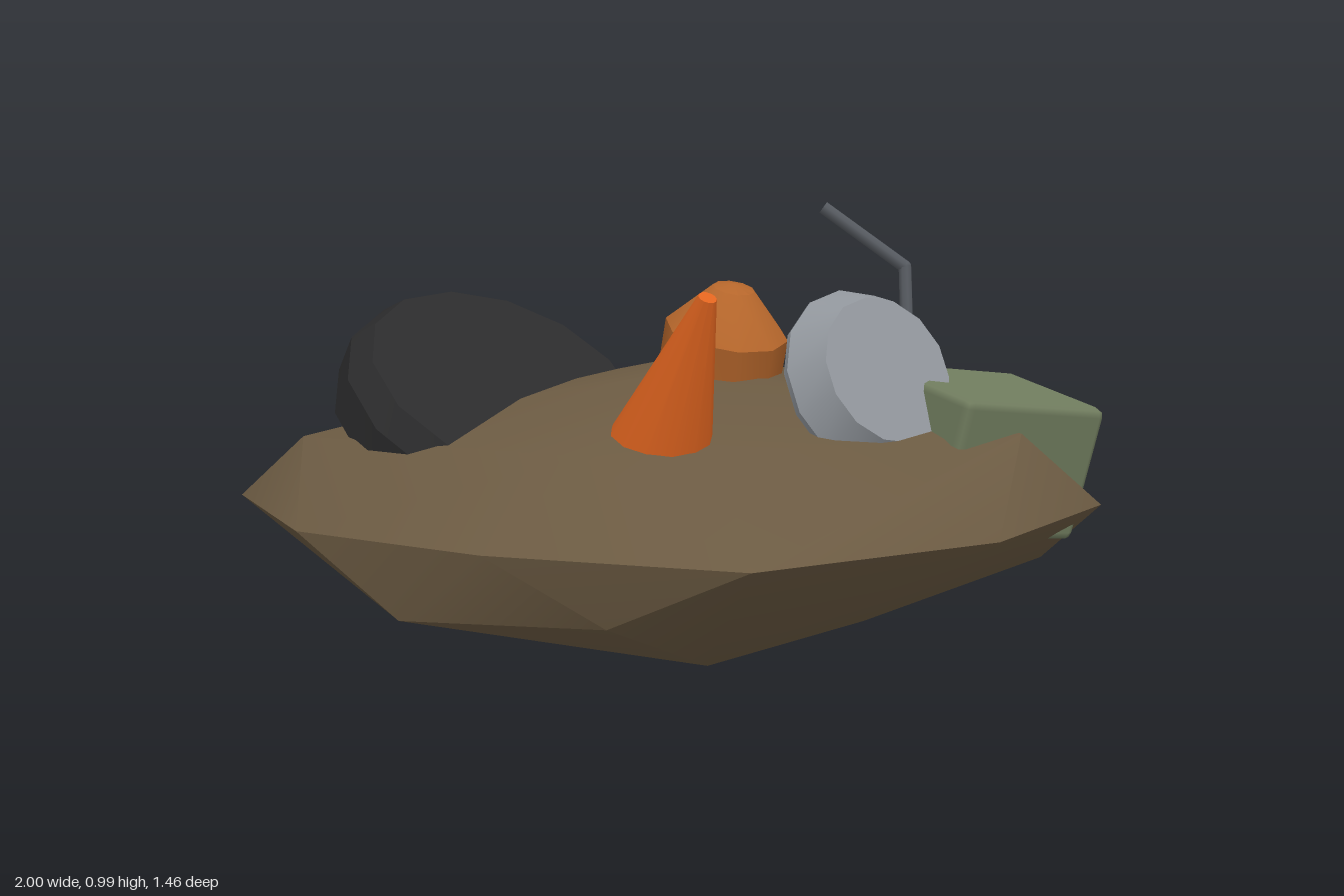
import * as THREE from 'three';
import { toCreasedNormals } from 'three/addons/utils/BufferGeometryUtils.js';
import { ConvexGeometry } from 'three/addons/geometries/ConvexGeometry.js';
import { RoundedBoxGeometry } from 'three/addons/geometries/RoundedBoxGeometry.js';

const UP = new THREE.Vector3(0, 1, 0);
const vec = (p) => new THREE.Vector3(...p);

function material(name, color) {
  const m = new THREE.MeshStandardMaterial({ color });
  m.name = name;
  return m;
}

export function createModel() {
  const group = new THREE.Group();
  const dirt = material('dirt brown', 0x6b5a42);
  const rubber = material('rubber black', 0x2b2b2c);
  const orange = material('cone orange', 0xe0641f);
  const rust = material('rust orange', 0xb5662b);
  const steel = material('pale steel', 0x92979d);
  const darkSteel = material('dark steel', 0x565a60);
  const green = material('crate green', 0x707c5e);

  function add(name, geometry, mat, position = [0, 0, 0], axis = null) {
    const mesh = new THREE.Mesh(geometry, mat);
    mesh.name = name;
    mesh.position.set(...position);
    if (axis) mesh.quaternion.setFromUnitVectors(UP, vec(axis).normalize());
    group.add(mesh);
    return mesh;
  }

  // Solid turned from [radius, height] points, with sharp rims
  const turned = (profile, sides, crease = 0.7) => toCreasedNormals(
    new THREE.LatheGeometry(profile.map(([r, y]) => new THREE.Vector2(r, y)), sides), crease);

  // Mound: faceted heap described by its rings of corners
  const rim = [[-1, -0.31], [-0.87, 0.15], [-0.5, 0.47], [0.01, 0.73], [0.59, 0.55], [0.97, 0.2],
    [1, -0.31], [0.6, -0.68], [0.3, -0.7], [-0.24, -0.68], [-0.5, -0.61]].map(([x, z]) => [x, 0.31, z]);
  const crown = [[0.73, 0.5, 0.3], [-0.27, 0.49, 0.365], [0.02, 0.49, 0.37], [-0.85, 0.475, -0.13],
    [-0.72, 0.455, -0.455], [-0.5, 0.485, -0.575], [0.06, 0.475, -0.64], [0, 0.555, -0.53],
    [0.02, 0.615, -0.28], [0.32, 0.603, -0.17], [0.08, 0.62, -0.08]];
  const underside = [[-0.66, 0.14, 0.31], [-0.25, 0.16, 0.545], [-0.72, 0.125, -0.46], [0.3, 0.125, -0.73],
    [0.8, 0.15, -0.48], [0.93, 0.13, -0.06], [-0.5, 0.04, -0.1], [0, 0, -0.07],
    [0, 0.02, 0.36], [0.4, 0.06, 0.2], [0, 0.04, -0.44]];
  const heap = new ConvexGeometry([...rim, ...crown, ...underside].map(vec));
  add('mound', toCreasedNormals(heap, 0.7), dirt);

  // Half-buried tyre leaning back
  add('tyre', turned([[0, -0.22], [0.32, -0.22], [0.38, -0.16], [0.38, -0.06], [0.34, 0], [0, 0]], 14, 0.5),
    rubber, [-0.37, 0.588, -0.15], [0.3, 0.81, 0.48]);

  // Traffic cone
  add('trafficCone', turned([[0, -0.03], [0.117, -0.03], [0.02, 0.365], [0, 0.365]], 12),
    orange, [-0.08, 0.515, 0.275], [0.06, 0.32, 0.18]);

  // Rusty drum with a sloped cap
  add('drum', turned([[0, -0.2], [0.148, -0.2], [0.148, 0], [0.05, 0.105], [0, 0.115]], 10, 0.65),
    rust, [0.145, 0.705, -0.115], [0.1, 0.95, 0.27]);

  // Wheel cover, widest at the back
  add('wheelCover', turned([[0, -0.05], [0.215, -0.05], [0.22, -0.03], [0.172, 0.05], [0, 0.05]], 14, 0.5),
    steel, [0.415, 0.625, 0.21], [0.36, 0.42, 0.83]);

  // Tilted crate
  const crate = add('crate', new RoundedBoxGeometry(0.45, 0.325, 0.325, 1, 0.022), green, [0.688, 0.43, 0.118]);
  const crateX = vec([0.9, -0.13, -0.42]).normalize();
  const crateY = vec([0.34, -0.17, 0.92]).cross(crateX).normalize();
  const crateZ = crateX.clone().cross(crateY);
  crate.quaternion.setFromRotationMatrix(new THREE.Matrix4().makeBasis(crateX, crateY, crateZ));

  // Bent pipe in two straight lengths with a rounded elbow
  const pipe = [[0.66, 0.42, -0.285], [0.67, 0.83, -0.38], [0.47, 0.98, -0.445]].map(vec);
  for (let i = 0; i < 2; i++) {
    const run = pipe[i + 1].clone().sub(pipe[i]);
    const middle = pipe[i].clone().addScaledVector(run, 0.5);
    add('pipeLength', new THREE.CylinderGeometry(0.017, 0.017, run.length(), 8), darkSteel,
      middle.toArray(), run.toArray());
  }
  add('pipeElbow', new THREE.SphereGeometry(0.017, 8, 6), darkSteel, pipe[1].toArray());

  return group;
}
